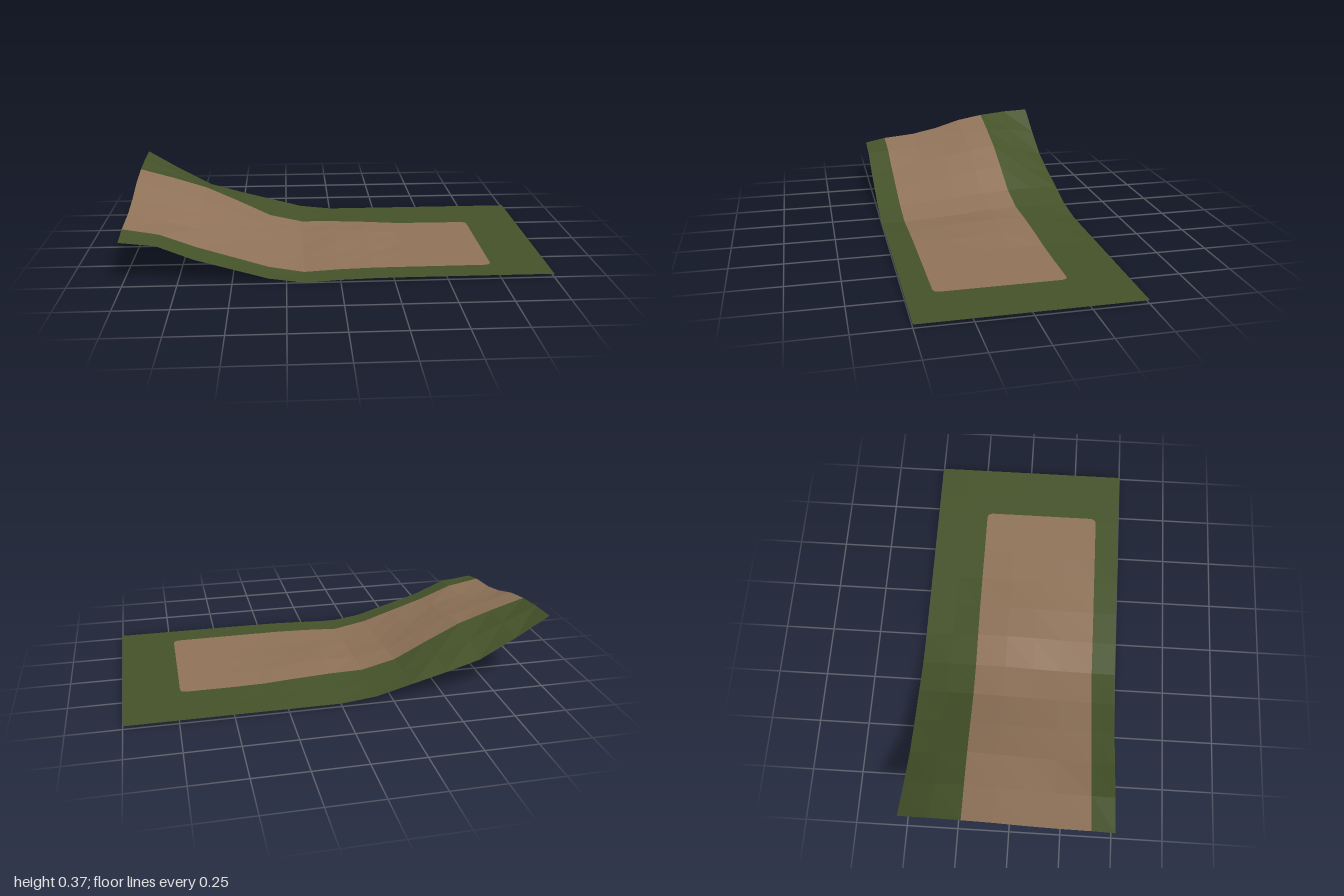
import * as THREE from 'three';

// Heights across the strip (back edge to front edge) for each column, from x = -1 in steps of 1/6
const LEVEL = 0.016;
const heights = [
  [0.37, 0.364, 0.35, 0.325, 0.282, 0.253, 0.243, 0.215],
  [0.267, 0.29, 0.3, 0.275, 0.24, 0.215, 0.21, 0.195],
  [0.175, 0.215, 0.245, 0.225, 0.195, 0.165, 0.145, 0.125],
  [0.125, 0.15, 0.165, 0.15, 0.125, 0.105, 0.09, 0.075],
  [0.08, 0.08, 0.08, 0.07, 0.055, 0.045, 0.035, 0.025],
  [0.035, 0.038, 0.04, 0.035, 0.02, 0.01, 0.003, 0],
  [0.016, 0.025, 0.038, 0.042, 0.035, 0.02, 0.012, 0.01],
  [0.016, 0.02, 0.03, 0.035, 0.028, 0.02, 0.016, 0.015],
  [0.016, 0.016, 0.019, 0.02, 0.018, 0.016, 0.016, 0.016],
];

// Ground height at any point, interpolated between the columns and rows
function heightAt(x, z) {
  const u = (x + 1) * 6, v = (z + 0.5) * 7;
  const i = Math.floor(u + 1e-6), j = Math.min(6, Math.floor(v + 1e-6));
  const at = (a, b) => (heights[a] ? heights[a][b] : LEVEL);
  const across = (a) => THREE.MathUtils.lerp(at(a, j), at(a, j + 1), v - j);
  return THREE.MathUtils.lerp(across(i), across(i + 1), u - i);
}

// Columns, with extra cuts where the path ends in rounded corners
const PATH_END = 0.73;
const columns = [];
for (let i = 0; i <= 10; i++) columns.push(-1 + i / 6);
columns.push(0.705, 0.722, PATH_END, 5 / 6, 1);

// Rows at one column: rows 2 and 6 follow the edges of the path
function rowsAt(x) {
  const inset = x > 0.75 ? 0 : x >= PATH_END ? 0.025 : x > 0.71 ? 0.007 : 0;
  const t = (Math.min(x, PATH_END) + 1) / 1.73;
  const back = -0.213 - 0.017 * Math.min(1, t * 1.4) + inset;
  const front = 0.386 - 0.012 * t - inset;
  return [-0.5, -2.5 / 7, back, -0.5 / 7, 0.5 / 7, 1.5 / 7, front, 0.5];
}

// Faceted surface made of the grid cells that pass the test
function surface(name, material, test) {
  const positions = [];
  const corner = (i, j) => {
    const x = columns[i], z = rowsAt(x)[j];
    return [x, heightAt(x, z), z];
  };
  for (let i = 0; i < columns.length - 1; i++) {
    for (let j = 0; j < 7; j++) {
      if (!test(i, j)) continue;
      const a = corner(i, j), b = corner(i, j + 1);
      const c = corner(i + 1, j + 1), d = corner(i + 1, j);
      positions.push(...a, ...b, ...d, ...b, ...c, ...d);
    }
  }
  const geometry = new THREE.BufferGeometry();
  geometry.setAttribute('position', new THREE.Float32BufferAttribute(positions, 3));
  geometry.computeVertexNormals();
  const mesh = new THREE.Mesh(geometry, material);
  mesh.name = name;
  return mesh;
}

export function createModel() {
  const grass = new THREE.MeshStandardMaterial({ color: 0x445229, side: THREE.DoubleSide, flatShading: true });
  grass.name = 'grass green';
  const dirt = new THREE.MeshStandardMaterial({ color: 0x8f7258, side: THREE.DoubleSide, flatShading: true });
  dirt.name = 'dirt brown';

  const isPath = (i, j) => columns[i] < PATH_END && j >= 2 && j < 6;
  const group = new THREE.Group();
  group.name = 'terrainStrip';
  group.add(surface('grassBorder', grass, (i, j) => !isPath(i, j)));
  group.add(surface('dirtPath', dirt, isPath));
  return group;
}
